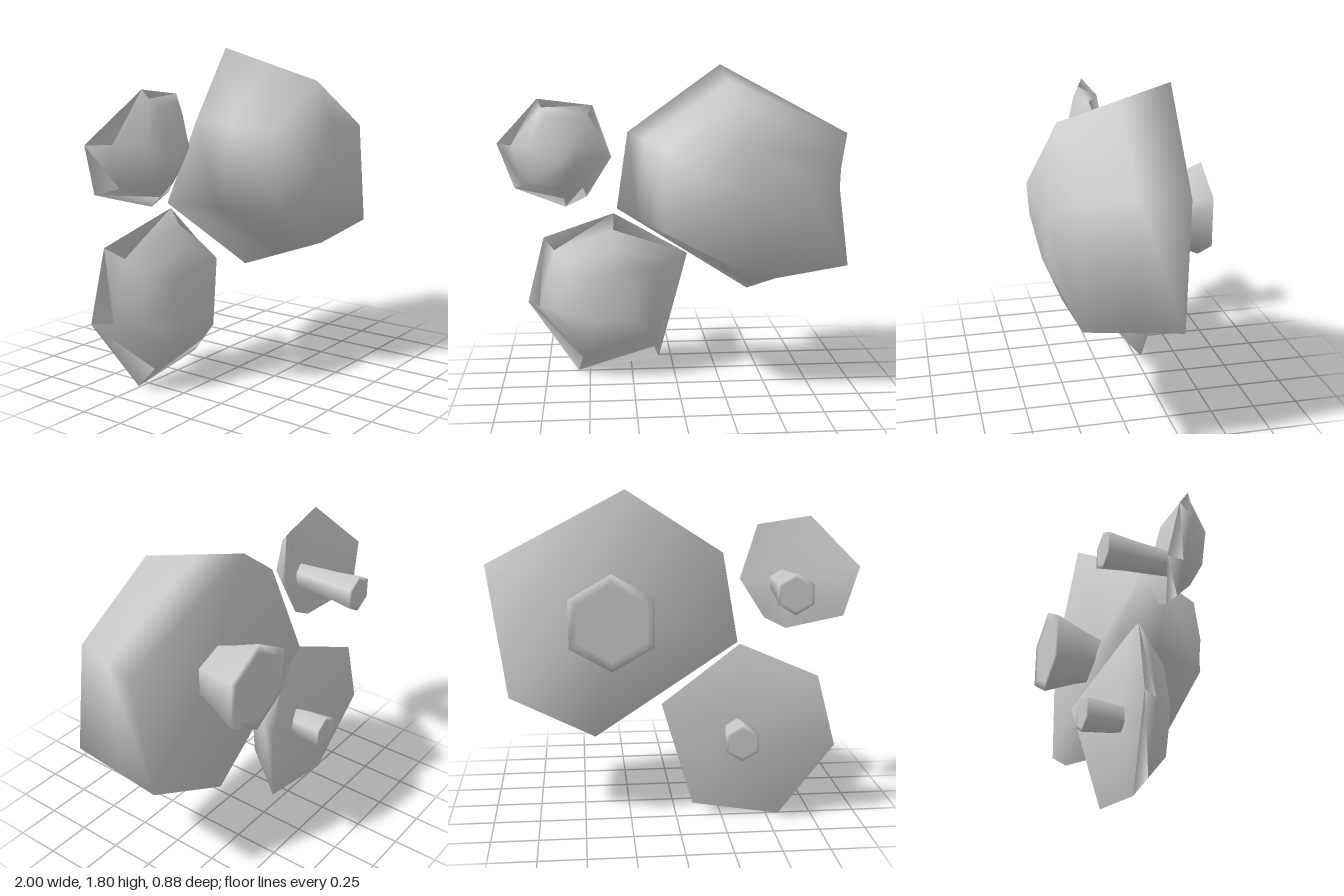
import * as THREE from 'three';

const material = new THREE.MeshStandardMaterial({ color: 0xcccccc });

// Blend two rings of points
const blend = (a, b, t) => a.map((p, i) => p.map((v, k) => v + (b[i][k] - v) * t));

// Closed faceted cap: hollow back centre, rim, shoulder, brow, front centre.
// Rings run clockwise as seen from the front.
function makeCap(name, { back, rim, shoulder, brow, front }) {
  const n = rim.length;
  const rings = [rim, blend(rim, shoulder, 0.45), shoulder, brow];
  const points = [back, ...rings.flat(), front];
  const at = (r, i) => 1 + r * n + (i % n);
  const index = [];
  for (let i = 0; i < n; i++) {
    index.push(at(0, i), at(0, i + 1), 0);
    for (let r = 0; r < rings.length - 1; r++) {
      index.push(at(r, i + 1), at(r, i), at(r + 1, i));
      index.push(at(r, i + 1), at(r + 1, i), at(r + 1, i + 1));
    }
    index.push(at(3, i + 1), at(3, i), points.length - 1);
  }
  const geometry = new THREE.BufferGeometry();
  geometry.setAttribute('position', new THREE.Float32BufferAttribute(points.flat(), 3));
  geometry.setIndex(index);
  geometry.computeVertexNormals();
  const mesh = new THREE.Mesh(geometry, material);
  mesh.name = name;
  return mesh;
}

// Six-sided stem with a closed end at z = -0.44; profile lists [radius, z] towards the cap
function makeStem(name, x, y, profile) {
  const zBack = -0.44, rBack = profile[0][0];
  const outline = [...profile].reverse().concat([[rBack * 0.8, zBack], [0, zBack]]);
  const geometry = new THREE.LatheGeometry(outline.map(([r, z]) => new THREE.Vector2(r, -z)), 6);
  geometry.rotateX(-Math.PI / 2);
  const mesh = new THREE.Mesh(geometry, material);
  mesh.position.set(x, y, 0);
  mesh.name = name;
  return mesh;
}

export function createModel() {
  const group = new THREE.Group();
  group.name = 'fungusCluster';

  // Large cap
  group.add(makeCap('largeCap', {
    back: [0.35, 1.15, -0.16],
    rim: [[0.27, 1.81, -0.29], [1, 1.42, -0.19], [0.9, 0.7, -0.21],
      [0.44, 0.49, -0.27], [-0.33, 0.99, -0.24], [-0.27, 1.45, -0.08]],
    shoulder: [[0.31, 1.64, 0.31], [0.82, 1.35, 0.3], [0.9, 0.76, 0.3],
      [0.38, 0.71, 0.31], [-0.09, 0.96, 0.34], [-0.09, 1.4, 0.31]],
    brow: [[0.32, 1.42, 0.4], [0.62, 1.27, 0.41], [0.63, 0.98, 0.41],
      [0.38, 0.95, 0.41], [0.11, 1.1, 0.43], [0.1, 1.27, 0.44]],
    front: [0.35, 1.18, 0.42],
  }));
  group.add(makeStem('largeStem', 0.35, 1.145, [[0.255, -0.44], [0.18, -0.26], [0.14, -0.14]]));

  // Medium cap
  group.add(makeCap('mediumCap', {
    back: [-0.35, 0.48, -0.23],
    rim: [[-0.35, 0.97, -0.2], [0.09, 0.69, -0.36], [-0.09, 0.08, -0.25],
      [-0.57, 0.005, -0.26], [-0.86, 0.42, -0.32], [-0.76, 0.81, -0.31]],
    shoulder: [[-0.36, 0.78, -0.06], [-0.1, 0.66, -0.08], [-0.16, 0.29, -0.06],
      [-0.5, 0.25, -0.06], [-0.7, 0.42, -0.12], [-0.62, 0.68, -0.12]],
    brow: [[-0.36, 0.65, -0.04], [-0.22, 0.58, -0.04], [-0.24, 0.38, -0.04],
      [-0.43, 0.37, -0.04], [-0.54, 0.46, -0.06], [-0.5, 0.6, -0.06]],
    front: [-0.37, 0.5, -0.035],
  }));
  group.add(makeStem('mediumStem', -0.335, 0.485, [[0.1, -0.44], [0.085, -0.3], [0.07, -0.21]]));

  // Small cap, hollow at the back and dented at the lower right of its front
  group.add(makeCap('smallCap', {
    back: [-0.6, 1.3, -0.05],
    rim: [[-0.76, 1.64, -0.03], [-0.46, 1.6, -0.06], [-0.36, 1.31, -0.1],
      [-0.5, 1.09, -0.09], [-0.62, 1.03, -0.1], [-0.91, 1.12, -0.22], [-1, 1.38, -0.19]],
    shoulder: [[-0.71, 1.54, 0.03], [-0.52, 1.5, 0.03], [-0.47, 1.33, 0.03],
      [-0.55, 1.22, 0.03], [-0.63, 1.16, 0.03], [-0.78, 1.2, 0.03], [-0.81, 1.38, 0.04]],
    brow: [[-0.67, 1.42, 0.06], [-0.57, 1.41, 0.07], [-0.54, 1.32, 0.07],
      [-0.58, 1.27, 0.07], [-0.63, 1.24, 0.07], [-0.69, 1.27, 0.07], [-0.71, 1.36, 0.07]],
    front: [-0.62, 1.33, 0.08],
  }));
  group.add(makeStem('smallStem', -0.6, 1.28, [[0.108, -0.44], [0.09, -0.3], [0.07, -0.04]]));

  return group;
}
